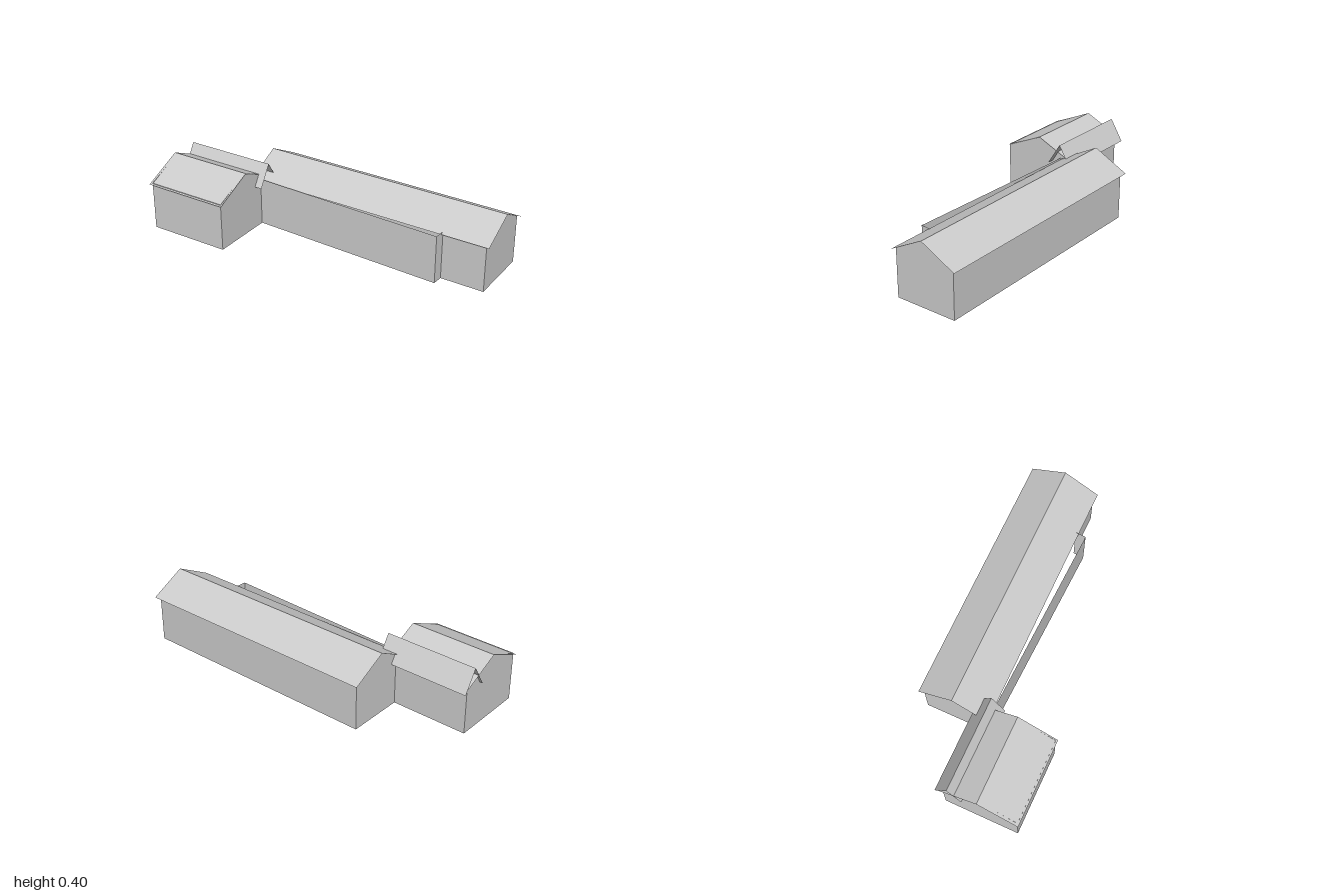
import * as THREE from 'three';

const WALL_TOP = 0.293, RIDGE = 0.395;

// Flat-shaded, two-sided mesh from a list of polygons (each a fan of corners)
function sheet(name, polygons) {
  const pos = [];
  for (const p of polygons)
    for (let i = 1; i < p.length - 1; i++) pos.push(...p[0], ...p[i], ...p[i + 1]);
  const geo = new THREE.BufferGeometry();
  geo.setAttribute('position', new THREE.Float32BufferAttribute(pos, 3));
  geo.computeVertexNormals();
  const mesh = new THREE.Mesh(geo, new THREE.MeshStandardMaterial({
    color: 0xcccccc, flatShading: true, side: THREE.DoubleSide }));
  mesh.name = name;
  return mesh;
}

// Two sloping planes meeting in a ridge along x
function gableRoof(name, x0, x1, ridgeZ, half, eave) {
  return sheet(name, [1, -1].map(s => {
    const e = ridgeZ + s * half;
    const quad = [[x0, eave, e], [x1, eave, e], [x1, RIDGE, ridgeZ], [x0, RIDGE, ridgeZ]];
    return s > 0 ? quad : quad.reverse();
  }));
}

// Triangular wall between wall top and ridge
function gableEnd(name, x, zBack, zFront, ridgeZ, facing) {
  const tri = [[x, WALL_TOP, zFront], [x, WALL_TOP, zBack], [x, RIDGE - 0.003, ridgeZ]];
  return sheet(name, [facing > 0 ? tri : tri.reverse()]);
}

export function createModel() {
  const model = new THREE.Group();
  model.name = 'building';
  const body = new THREE.Group();
  body.name = 'buildingBody';
  body.rotation.y = 0.064;
  model.add(body);

  // Outer walls, open at top and bottom, following one stepped footprint (x, z)
  const plan = [
    [-0.982, 0.397], [-0.481, 0.397], [-0.481, 0.012], [0.713, 0.056], [0.717, -0.009],
    [0.978, -0.008], [0.978, -0.39], [-0.52, -0.39], [-0.52, -0.05], [-0.982, -0.05],
  ];
  body.add(sheet('walls', plan.map(([x, z], i) => {
    const [u, w] = plan[(i + 1) % plan.length];
    return [[x, 0, z], [u, 0, w], [u, WALL_TOP, w], [x, WALL_TOP, z]];
  })));

  // Long wing
  body.add(
    gableRoof('longRoof', -0.54, 1.0, -0.202, 0.212, 0.284),
    gableEnd('longGableLeft', 0.978, -0.39, -0.008, -0.202, 1),
    gableEnd('longGableRight', -0.52, -0.39, -0.008, -0.202, -1),
  );

  // Short wing
  body.add(
    gableRoof('shortRoof', -0.998, -0.472, 0.165, 0.242, 0.284),
    gableEnd('shortGableLeft', -0.481, -0.05, 0.397, 0.165, 1),
    gableEnd('shortGableRight', -0.982, -0.05, 0.397, 0.165, -1),
  );

  // Narrow steep roof over the joint between the wings
  body.add(gableRoof('linkRoof', -1.0, -0.435, -0.01, 0.08, 0.265));

  return model;
}
